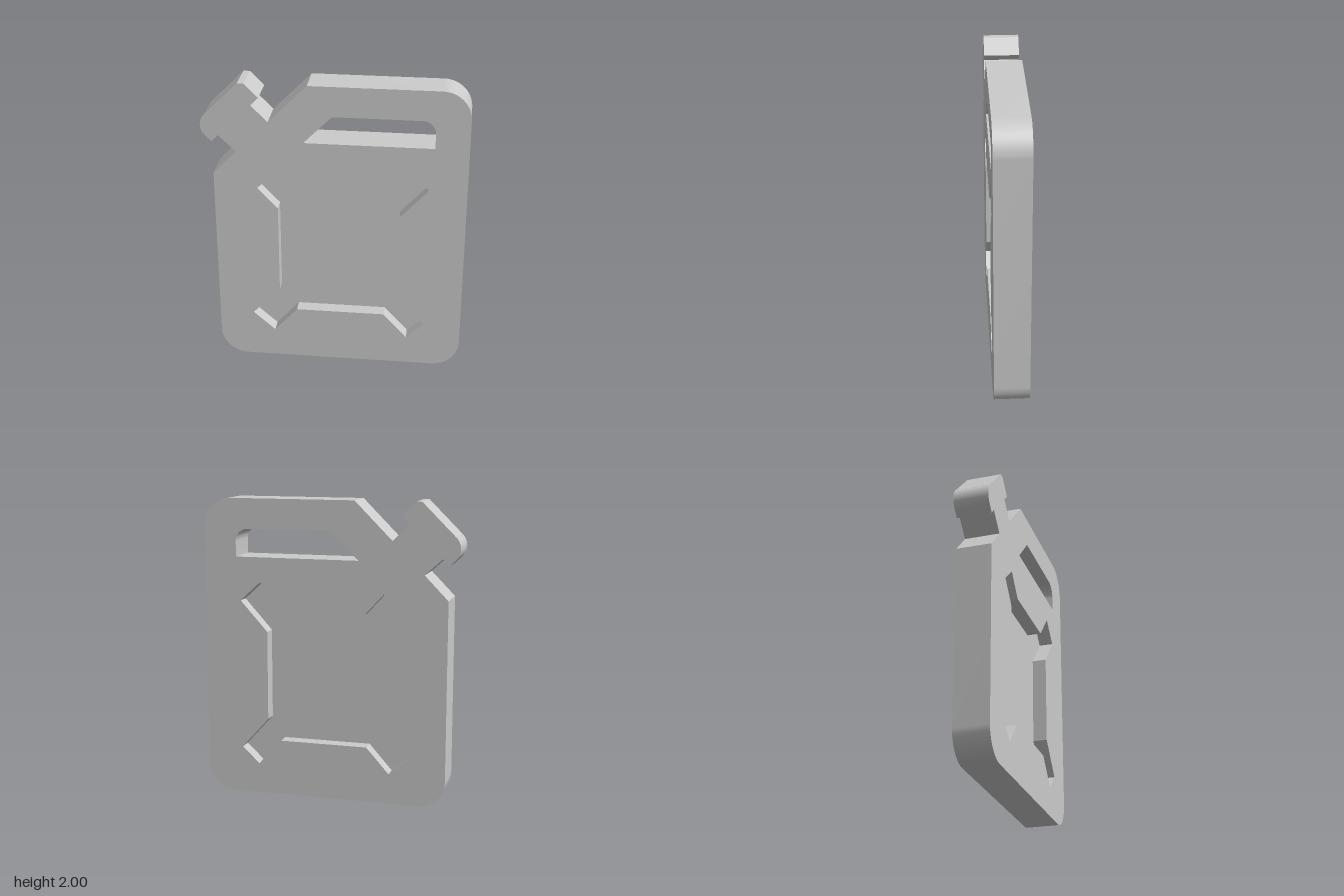
import * as THREE from 'three';
import { toCreasedNormals } from 'three/addons/utils/BufferGeometryUtils.js';

const THICKNESS = 0.232;
const RECESS_DEPTH = 0.094;

function polygon(points, target = new THREE.Shape()) {
  target.setFromPoints(points.map(([x, y]) => new THREE.Vector2(x, y)));
  return target;
}

// Extrudes a shape to a given depth, centred on z = 0
function slab(name, shape, depth, material) {
  const geometry = new THREE.ExtrudeGeometry(shape, { depth, bevelEnabled: false, curveSegments: 16 });
  geometry.translate(0, 0, -depth / 2);
  const mesh = new THREE.Mesh(toCreasedNormals(geometry, 0.5), material);
  mesh.name = name;
  return mesh;
}

// Silhouette of the can with its slanted spout and cap
function canOutline() {
  const left = -0.788, right = 0.857, r = 0.185;
  const s = new THREE.Shape();
  s.moveTo(left + r, 0);
  s.lineTo(right - r, 0);
  s.absarc(right - r, r, r, -Math.PI / 2, 0);
  s.lineTo(right, 2 - r);
  s.absarc(right - r, 2 - r, r, 0, Math.PI / 2);
  // shoulder, neck and cap
  for (const [x, y] of [[-0.17, 2], [-0.422, 1.748], [-0.53, 1.856], [-0.478, 1.908],
    [-0.568, 2], [-0.61, 2], [-0.831, 1.781]]) s.lineTo(x, y);
  s.absarc(-0.76, 1.71, 0.1, Math.PI * 0.75, Math.PI * 1.25);
  for (const [x, y] of [[-0.79, 1.6], [-0.747, 1.643], [-0.632, 1.537], [left, 1.378], [left, r]]) s.lineTo(x, y);
  s.absarc(left + r, r, r, Math.PI, Math.PI * 1.5);
  return s;
}

// Handle opening with one rounded corner
function handleOpening() {
  const p = new THREE.Path();
  p.moveTo(-0.198, 1.615);
  p.lineTo(0.64, 1.615);
  p.lineTo(0.64, 1.715);
  p.absarc(0.555, 1.715, 0.085, 0, Math.PI / 2);
  p.lineTo(-0.013, 1.8);
  p.closePath();
  return p;
}

// Pressed panel: a rectangle with an arm at each corner
const panelPoints = [
  [-0.505, 1.283], [-0.367, 1.403], [-0.24, 1.264], [0.304, 1.264],
  [0.474, 1.45], [0.612, 1.323], [0.427, 1.118], [0.427, 0.52],
  [0.612, 0.313], [0.495, 0.203], [0.337, 0.375], [-0.256, 0.375],
  [-0.41, 0.203], [-0.557, 0.333], [-0.371, 0.526], [-0.371, 1.142],
];

export function createModel() {
  const group = new THREE.Group();
  group.name = 'fuelCan';
  const material = new THREE.MeshStandardMaterial({ color: 0xcccccc });

  const outline = canOutline();
  outline.holes.push(handleOpening(), polygon(panelPoints, new THREE.Path()));
  group.add(slab('canBody', outline, THICKNESS, material));

  // Thin web that closes the recess, set back from both faces
  group.add(slab('recessedPanel', polygon(panelPoints), THICKNESS - 2 * RECESS_DEPTH, material));
  return group;
}
